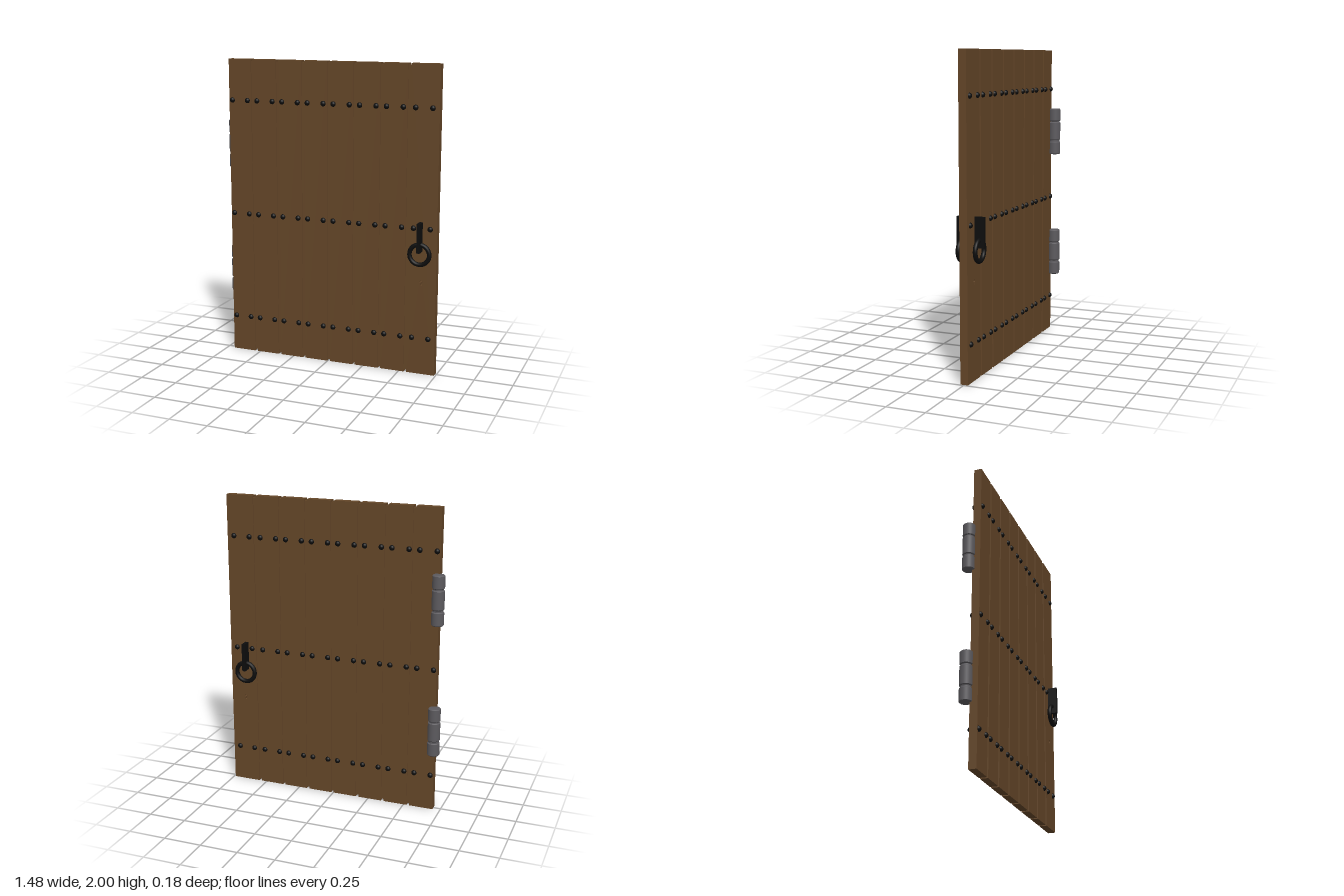
import * as THREE from 'three';

export function createModel() {
  const door = new THREE.Group();
  door.name = 'door';
  const wood = new THREE.MeshStandardMaterial({ color: 0x644628 });
  const iron = new THREE.MeshStandardMaterial({ color: 0x0d0d0d });
  const steel = new THREE.MeshStandardMaterial({ color: 0x5c5a5e });

  const add = (name, geometry, material, x, y, z, parent = door) => {
    const mesh = new THREE.Mesh(geometry, material);
    mesh.name = name;
    mesh.position.set(x, y, z);
    parent.add(mesh);
    return mesh;
  };

  const pitch = 0.179, left = -0.70, plankWidth = 0.16, half = 0.025;

  // Planks, with thinner strips closing the gaps between them
  for (let i = 0; i < 7; i++) {
    const x = left + i * pitch;
    add('plank', new THREE.BoxGeometry(plankWidth, 2, half * 2), wood, x + plankWidth / 2, 1, 0);
    add('gapStrip', new THREE.BoxGeometry(0.024, 1.976, 0.036), wood, x + (plankWidth + pitch) / 2, 1, 0);
  }

  // Wider lock plank, pierced by a keyhole
  const x0 = left + 7 * pitch, x1 = 0.74;
  const lockShape = new THREE.Shape([[x0, 0], [x1, 0], [x1, 2], [x0, 2]].map(p => new THREE.Vector2(...p)));
  const keyhole = new THREE.Path();
  keyhole.moveTo(0.636, 0.596);
  keyhole.lineTo(0.636, 0.614);
  keyhole.absarc(0.641, 0.62, 0.01, -2.1, -1.04, true);
  keyhole.lineTo(0.648, 0.596);
  keyhole.closePath();
  lockShape.holes.push(keyhole);
  add('lockPlank', new THREE.ExtrudeGeometry(lockShape, { depth: half * 2, bevelEnabled: false }),
    wood, 0, 0, -half);

  // Domed studs in three rows on both faces
  const studGeometry = new THREE.SphereGeometry(0.018, 16, 12);
  for (const y of [0.242, 0.967, 1.73]) {
    for (let i = 0; i < 8; i++) {
      for (const offset of [0.022, 0.132]) {
        const x = left + i * pitch + offset + (i === 7 ? 0.01 : 0);
        for (const side of [-1, 1]) add('stud', studGeometry, iron, x, y, side * 0.023);
      }
    }
  }

  // Ring pull hanging from an upright bracket on each face
  for (const [side, x] of [[1, 0.635], [-1, 0.622]]) {
    const handle = new THREE.Group();
    handle.name = side > 0 ? 'frontHandle' : 'backHandle';
    door.add(handle);
    add('bracket', new THREE.BoxGeometry(0.022, 0.19, 0.068), iron, x, 0.915, side * 0.053, handle);
    add('ring', new THREE.TorusGeometry(0.065, 0.0145, 12, 40), iron, x, 0.805, side * 0.053, handle);
  }

  // Barrel hinges: three chamfered knuckles around a pin
  const knuckle = (bottom, top) => new THREE.LatheGeometry(
    [[0, bottom], [0.034, bottom], [0.04, bottom + 0.006], [0.04, bottom + 0.006],
      [0.04, top - 0.006], [0.04, top - 0.006], [0.034, top], [0, top]]
      .map(p => new THREE.Vector2(...p)), 28);
  for (const y of [0.402, 1.27]) {
    const hinge = new THREE.Group();
    hinge.name = 'hinge';
    hinge.position.set(-0.70, y, -0.05);
    door.add(hinge);
    for (const [a, b] of [[0, 0.09], [0.1, 0.228], [0.234, 0.322]]) {
      add('knuckle', knuckle(a, b), steel, 0, 0, 0, hinge);
    }
    add('hingePin', new THREE.CylinderGeometry(0.034, 0.034, 0.3, 28), steel, 0, 0.161, 0, hinge);
  }

  return door;
}
